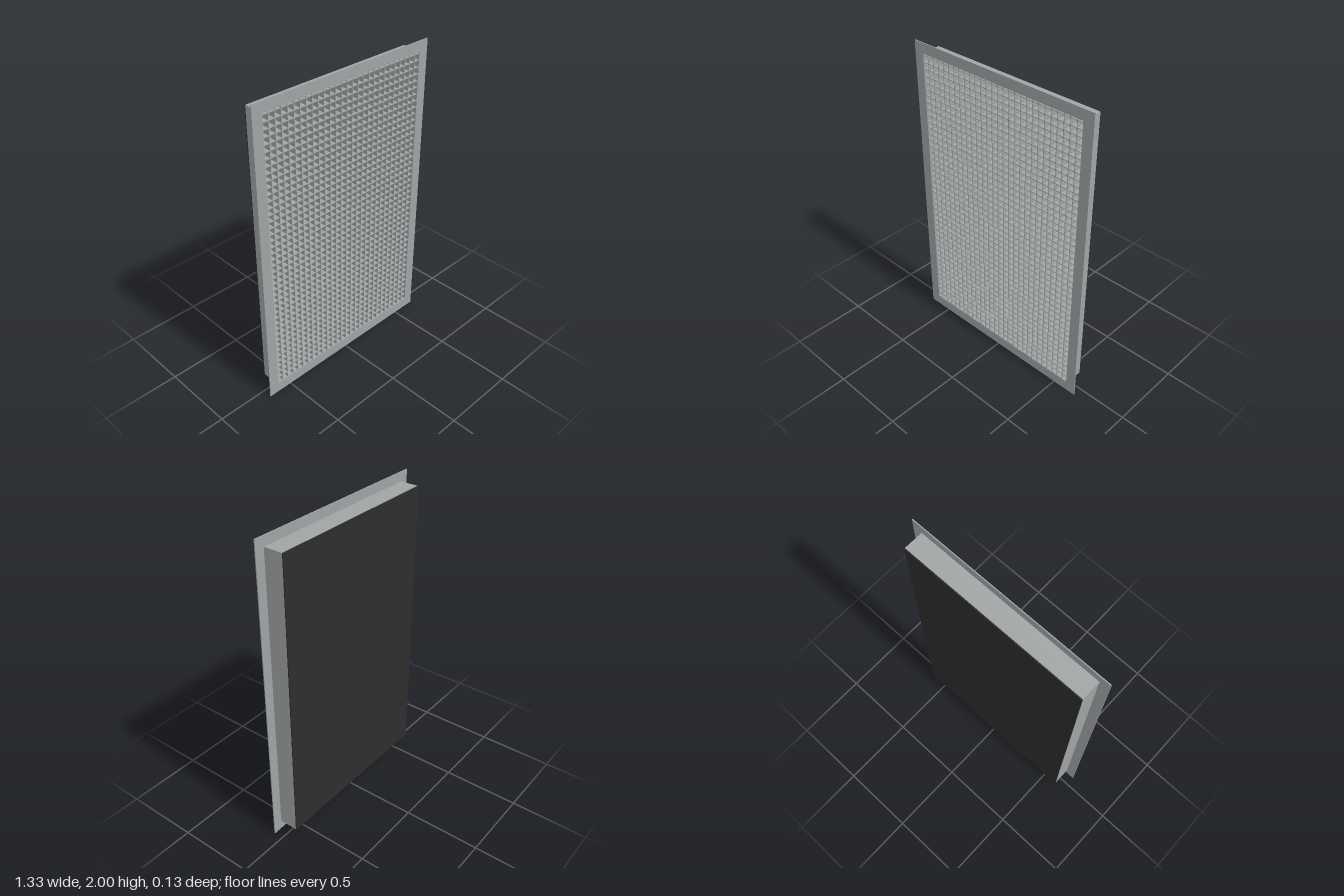
import * as THREE from 'three';

export function createModel() {
  const model = new THREE.Group();
  const grey = new THREE.MeshStandardMaterial({ name: 'painted grey metal', color: 0xa0a4a5 });
  const black = new THREE.MeshStandardMaterial({ name: 'black backing', color: 0x2d2d2d });

  const W = 0.605, BOTTOM = 0.061, TOP = 1.939;   // collar half width and height range
  const H = TOP - BOTTOM, MID = (TOP + BOTTOM) / 2;
  const FRONT = 0.067, BACK = -0.067, SHEET = 0.006;

  const box = (name, w, h, d, x, y, z, material = grey, parent = model) => {
    const mesh = new THREE.Mesh(new THREE.BoxGeometry(w, h, d), material);
    mesh.name = name;
    mesh.position.set(x, y, z);
    parent.add(mesh);
  };

  // Rectangular ring extruded along z
  const ring = (name, halfW, y0, y1, inW, in0, in1, z0, depth) => {
    const rect = (Type, w, a, b) => new Type([[-w, a], [w, a], [w, b], [-w, b]].map(p => new THREE.Vector2(...p)));
    const shape = rect(THREE.Shape, halfW, y0, y1);
    shape.holes.push(rect(THREE.Path, inW, in0, in1));
    const mesh = new THREE.Mesh(new THREE.ExtrudeGeometry(shape, { depth, bevelEnabled: false }), grey);
    mesh.name = name;
    mesh.position.z = z0;
    model.add(mesh);
  };

  // Flange and the collar behind it
  const inW = W - SHEET, in0 = BOTTOM + SHEET, in1 = TOP - SHEET;
  ring('flange', 0.667, 0, 2, inW, in0, in1, FRONT - SHEET, SHEET);
  ring('collar', W, BOTTOM, TOP, inW, in0, in1, BACK + SHEET, FRONT - BACK - 2 * SHEET);

  // Back panel with a grey inner face
  box('backPanel', 2 * W, H, SHEET, 0, MID, BACK + SHEET / 2, black);
  box('innerPanel', 2 * inW, in1 - in0, 0.004, 0, MID, BACK + SHEET + 0.002);

  // Egg-crate grille
  const grille = new THREE.Group();
  grille.name = 'eggCrateGrille';
  model.add(grille);
  const PITCH = 0.0431, BLADE = 0.004, DEPTH = 0.043, z = FRONT - 0.002 - DEPTH / 2;
  for (let i = -13; i <= 13; i++)
    box('verticalBlade', BLADE, in1 - in0, DEPTH, i * PITCH, MID, z, grey, grille);
  for (let i = 0; i < 44; i++)
    box('horizontalBlade', 2 * inW, BLADE, DEPTH, 0, in0 + BLADE / 2 + i * PITCH, z, grey, grille);

  return model;
}
